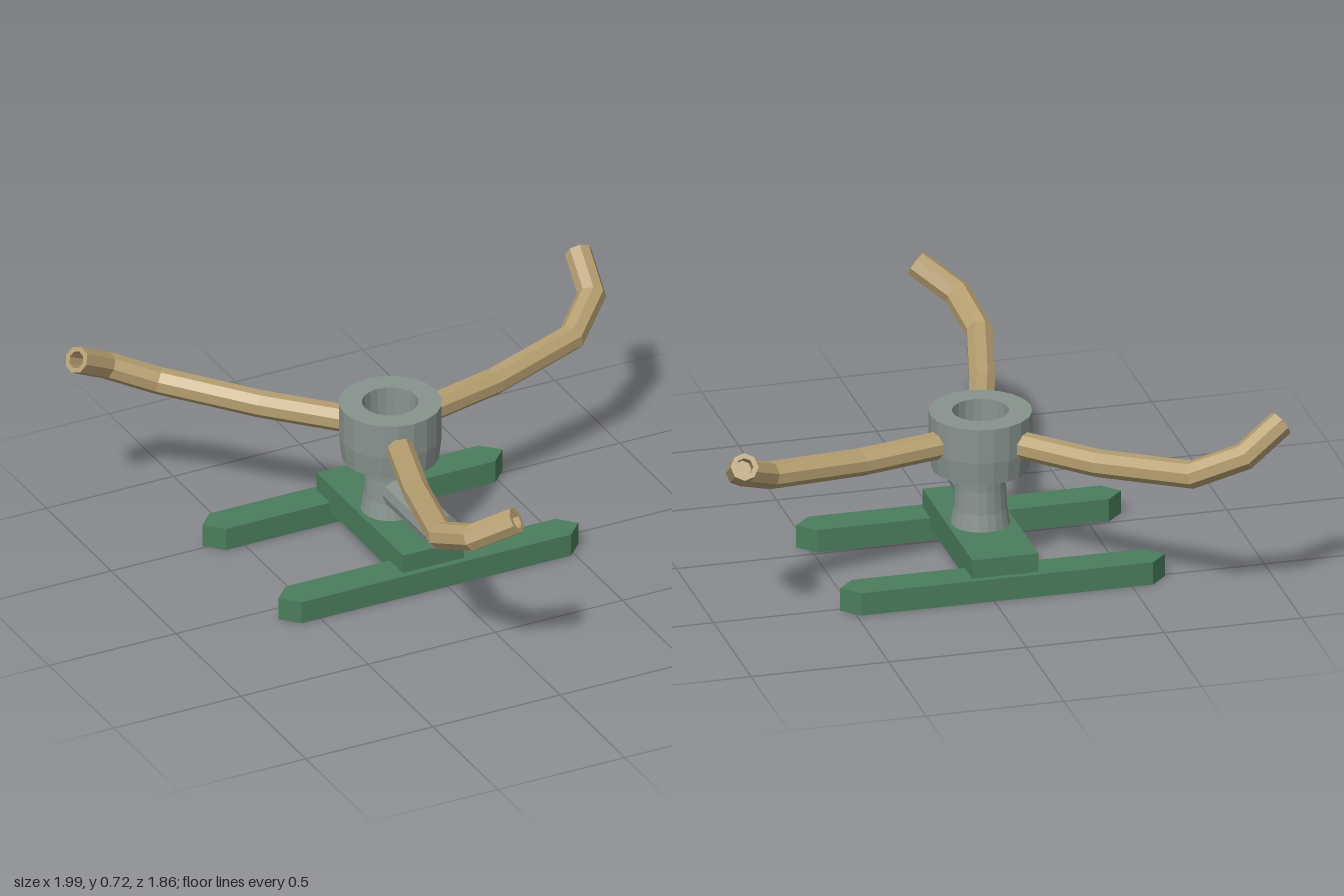
import * as THREE from 'three';

const tan = new THREE.MeshStandardMaterial({ color: 0xb59e70, flatShading: true });
tan.name = 'brass tan';
const grey = new THREE.MeshStandardMaterial({ color: 0x88938e, flatShading: true });
grey.name = 'metal grey';
const green = new THREE.MeshStandardMaterial({ color: 0x4a7d5c, flatShading: true });
green.name = 'base green';

function part(name, geometry, material, parent) {
  const mesh = new THREE.Mesh(geometry, material);
  mesh.name = name;
  parent.add(mesh);
  return mesh;
}

function lathe(profile, sides) {
  return new THREE.LatheGeometry(profile.map(([r, y]) => new THREE.Vector2(r, y)), sides);
}

// Faceted pipe with mitred bends and a hollow mouth at the far end
function pipeGeometry(path, radius, bore, sides) {
  const pts = path.map((p) => new THREE.Vector3(...p));
  const dirs = pts.slice(1).map((p, i) => p.clone().sub(pts[i]).normalize());
  let ring = [];
  for (let j = 0; j < sides; j++) {
    const a = ((j + 0.5) / sides) * Math.PI * 2;
    ring.push(new THREE.Vector3(0, Math.cos(a) * radius, Math.sin(a) * radius).add(pts[0]));
  }
  const rings = [ring];
  dirs.forEach((d, i) => {
    const n = d.clone().add(dirs[i + 1] ?? d).normalize();
    ring = ring.map((p) => p.clone().addScaledVector(d, pts[i + 1].clone().sub(p).dot(n) / d.dot(n)));
    rings.push(ring);
  });
  // mouth: lip, bore wall and bore floor
  const tip = pts[pts.length - 1];
  const last = dirs[dirs.length - 1];
  for (const [scale, depth] of [[bore / radius, 0], [bore / radius, 0.08], [0, 0.08]]) {
    rings.push(ring.map((p) => p.clone().sub(tip).multiplyScalar(scale).add(tip).addScaledVector(last, -depth)));
  }
  const tris = [];
  for (let i = 0; i + 1 < rings.length; i++) {
    for (let j = 0; j < sides; j++) {
      const k = (j + 1) % sides;
      const [a, b, c, d] = [rings[i][j], rings[i][k], rings[i + 1][k], rings[i + 1][j]];
      tris.push(a, b, c, a, c, d);
    }
  }
  const geometry = new THREE.BufferGeometry().setFromPoints(tris);
  geometry.computeVertexNormals();
  return geometry;
}

export function createModel() {
  const model = new THREE.Group();
  model.name = 'sprinkler';
  const body = new THREE.Group();
  body.name = 'sprinklerBody';
  body.position.set(-0.045, 0, -0.22);
  model.add(body);

  // Pointed skids
  const outline = new THREE.Shape([
    [-0.59, 0], [-0.53, -0.0625], [0.53, -0.0625], [0.59, 0], [0.53, 0.0625], [-0.53, 0.0625],
  ].map(([x, y]) => new THREE.Vector2(x, y)));
  const skid = new THREE.ExtrudeGeometry(outline, { depth: 0.085, bevelEnabled: false });
  skid.rotateX(-Math.PI / 2);
  part('frontSkid', skid, green, body).position.z = 0.2925;
  part('backSkid', skid, green, body).position.z = -0.2925;

  // Cross plate joining the skids
  part('crossPlate', new THREE.BoxGeometry(0.24, 0.105, 0.665), green, body).position.y = 0.1025;

  // Flared column
  part('column', lathe([[0.106, 0.15], [0.094, 0.215], [0.09, 0.3], [0.093, 0.37]], 20), grey, body);

  // Rotating head with an open well
  part('head', lathe([
    [0, 0.365], [0.172, 0.365], [0.182, 0.45], [0.182, 0.578], [0.1, 0.578], [0.095, 0.42], [0, 0.42],
  ], 20), grey, body);

  // Hose inlet facing forward
  const inlet = lathe([[0.065, 0], [0.065, 0.4], [0.043, 0.4], [0.043, 0.28], [0, 0.28]], 12);
  inlet.rotateX(Math.PI / 2);
  part('hoseInlet', inlet, grey, body).position.set(0, 0.252, 0);

  // Three curved spray arms
  const arm = pipeGeometry([
    [0.12, 0.48, 0], [0.48, 0.48, 0.008], [0.855, 0.513, 0], [1.02, 0.588, -0.078], [1.085, 0.675, -0.221],
  ], 0.049, 0.031, 8);
  ['leftArm', 'backArm', 'frontArm'].forEach((name, i) => {
    part(name, arm, tan, body).rotation.y = THREE.MathUtils.degToRad(15 + 120 * i);
  });

  return model;
}
